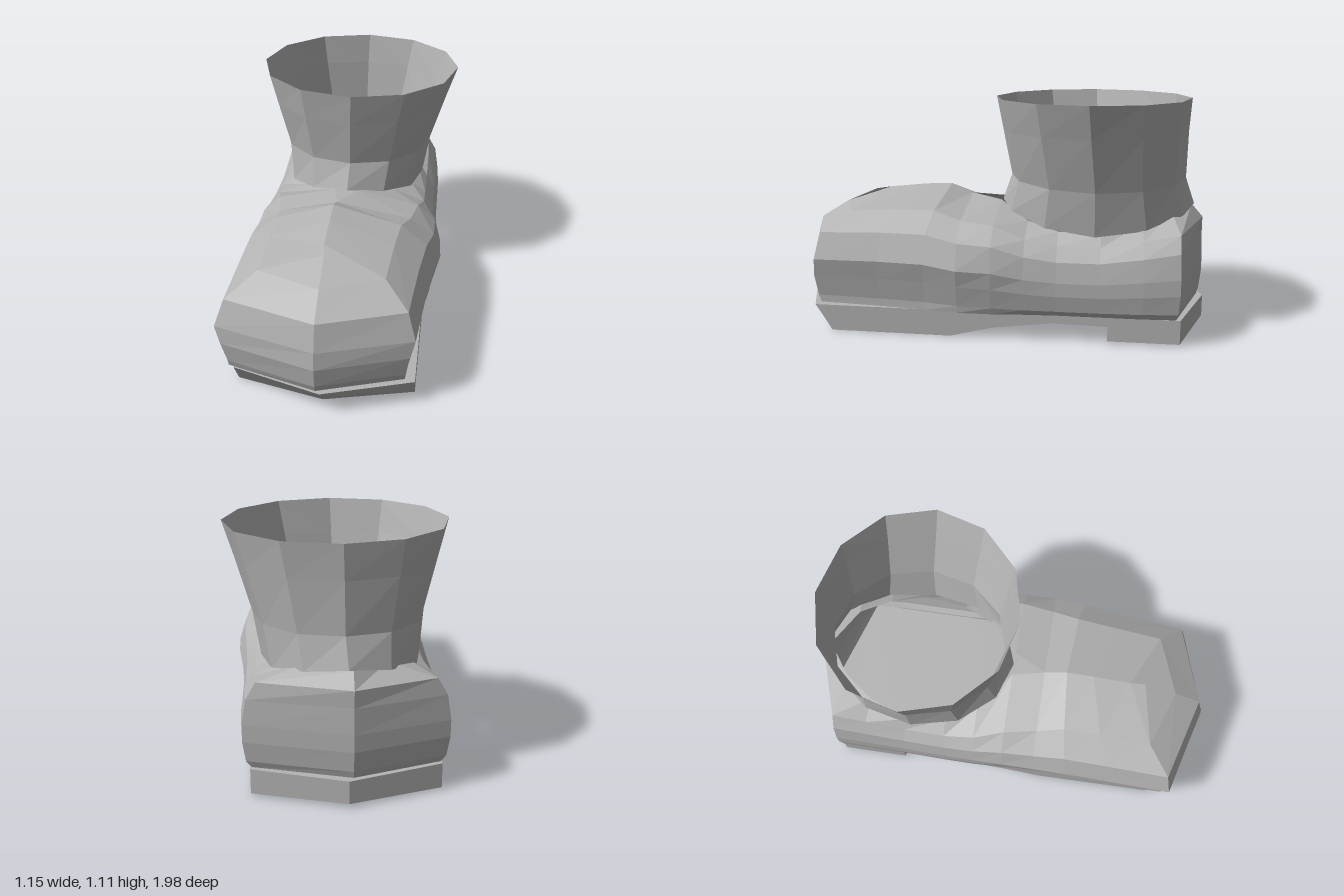
import * as THREE from 'three';

const leather = new THREE.MeshStandardMaterial({ color: 0xb4b4b4, flatShading: true, side: THREE.DoubleSide });
leather.name = 'grey leather';

// Builds a mesh by skinning a stack of closed rings, listed from the bottom up
function loft(name, rings) {
  const n = rings[0].length, index = [];
  for (let k = 0; k < rings.length - 1; k++) {
    for (let i = 0; i < n; i++) {
      const a = k * n + i, b = k * n + (i + 1) % n;
      index.push(a, b, b + n, a, b + n, a + n);
    }
  }
  return meshOf(name, rings.flat(), index);
}

function meshOf(name, points, index) {
  const geometry = new THREE.BufferGeometry();
  geometry.setAttribute('position', new THREE.Float32BufferAttribute(points.flat(), 3));
  geometry.setIndex(index);
  geometry.computeVertexNormals();
  const mesh = new THREE.Mesh(geometry, leather);
  mesh.name = name;
  return mesh;
}

// Foot of the boot: z, left width, right width, top height, inner half width, ankle amount
const stations = [
  [1.0, 0, 0, 0.62, 0, 0],
  [0.87, 0.478, 0.40, 0.63, 0, 0],
  [0.55, 0.47, 0.43, 0.65, 0, 0],
  [0.32, 0.465, 0.46, 0.655, 0, 0],
  [0.16, 0.46, 0.485, 0.61, 0, 0.2],
  [0.0, 0.457, 0.48, 0.595, 0.06, 0.5],
  [-0.15, 0.45, 0.46, 0.53, 0.23, 0.9],
  [-0.30, 0.445, 0.45, 0.50, 0.31, 1],
  [-0.50, 0.44, 0.45, 0.50, 0.34, 1],
  [-0.70, 0.44, 0.45, 0.54, 0.27, 1],
  [-0.87, 0.44, 0.44, 0.58, 0.17, 1],
  [-1.0, 0, 0, 0.585, 0, 1],
];
// Height fraction, width factor at the toe and at the ankle, pull back from toe tip and heel
const layers = [
  [0, 0.90, 0.92, 0.03, 0.03],
  [0.07, 0.90, 0.97, 0.015, 0.02],
  [0.27, 0.95, 1, 0, 0.01],
  [0.44, 1, 1, 0.01, 0.01],
  [0.69, 0.91, 0.96, 0.045, 0.015],
  [0.86, 0.64, 0.86, 0.18, 0.015],
  [1, 0, 0, 0.34, 0.07],
];

function createUpper() {
  const rings = layers.map(([f, wToe, wAnkle, toe, heel], k) => {
    const point = (s, side) => {
      const [z, left, right, top, inner, ankle] = s;
      const factor = THREE.MathUtils.lerp(wToe, wAnkle, ankle);
      const pulled = z - toe * Math.max(0, (z - 0.2) / 0.8) + heel * Math.max(0, (-z - 0.6) / 0.4);
      const tip = Math.abs(z) === 1;
      let x = side * factor * (side > 0 ? right : left);
      if (k === layers.length - 1) x = side * inner - (ankle < 0.3 ? 0.03 : 0);
      if (tip) x = -0.02;
      return [x, 0.125 + (top - 0.125) * f, pulled];
    };
    const right = stations.map((s) => point(s, 1));
    const left = stations.slice(1, -1).reverse().map((s) => point(s, -1));
    return [...right, ...left];
  });
  return loft('upper', rings);
}

// Flared shaft whose lower edge dips at the sides
function createShaft() {
  const tiers = [
    [0.49, 0.36, 0.47, 0, -0.47, 0.10],
    [0.70, 0.385, 0.425, 0.01, -0.47, 0.02],
    [0.95, 0.455, 0.45, 0.015, -0.45, 0],
    [1.105, 0.50, 0.47, 0.02, -0.44, 0],
  ];
  const rings = tiers.map(([y, rx, rz, cx, cz, lift]) =>
    Array.from({ length: 12 }, (_, i) => {
      const a = (i / 12) * Math.PI * 2;
      return [cx + rx * Math.sin(a), y + lift * Math.cos(a) ** 2, cz + rz * Math.cos(a)];
    }));
  return loft('shaft', rings);
}

// Sole with a raised arch and stepped heel: top z, bottom z, bottom height, half width
function createSole() {
  const rows = [
    [0.99, 0.88, 0, 0],
    [0.86, 0.78, 0, 0.405],
    [0.20, 0.20, 0, 0.41],
    [0.0, 0.0, 0.05, 0.41],
    [-0.28, -0.28, 0.085, 0.41],
    [-0.54, -0.54, 0.08, 0.41],
    [-0.54, -0.54, 0.01, 0.41],
    [-0.87, -0.87, 0.01, 0.41],
    [-1.0, -1.0, 0.02, 0],
  ];
  const points = [], index = [];
  for (const [zt, zb, y, w] of rows) {
    points.push([w, 0.125, zt], [w, y, zb], [-w, y, zb], [-w, 0.125, zt]);
  }
  for (let r = 0; r < rows.length - 1; r++) {
    for (let c = 0; c < 4; c++) {
      const a = r * 4 + c, b = r * 4 + (c + 1) % 4;
      index.push(a, b, b + 4, a, b + 4, a + 4);
    }
  }
  // Close the thin front and back tips
  const e = (rows.length - 1) * 4;
  index.push(0, 2, 1, 0, 3, 2, e, e + 1, e + 2, e, e + 2, e + 3);
  return meshOf('sole', points, index);
}

export function createModel() {
  const boot = new THREE.Group();
  boot.name = 'boot';
  const body = new THREE.Group();
  body.name = 'turnedBoot';
  body.add(createUpper(), createShaft(), createSole());
  // The whole boot points slightly to its right
  body.rotation.y = -0.119;
  boot.add(body);
  return boot;
}
